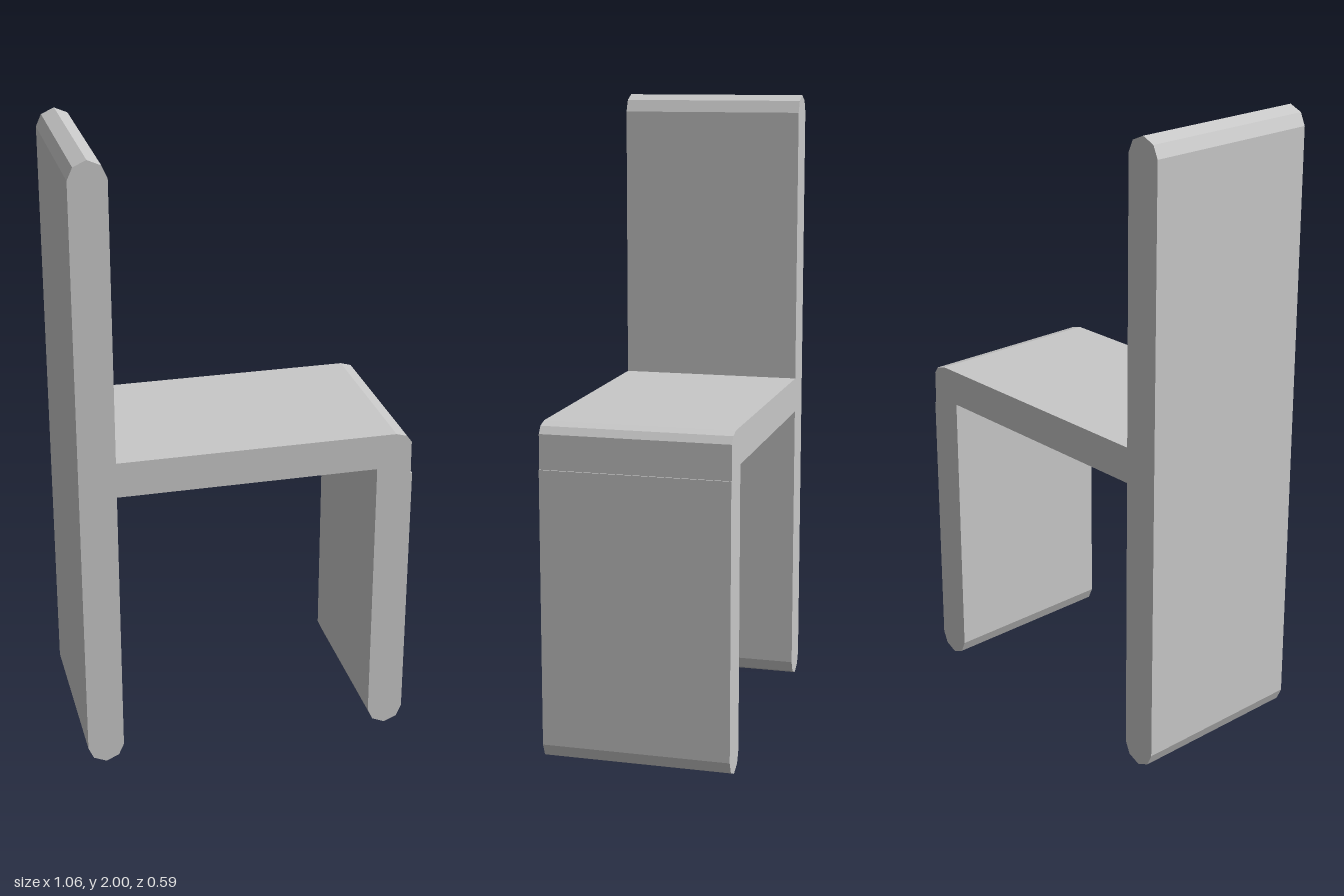
import * as THREE from 'three';

const DEPTH = 0.588;
const HALF = 0.058; // half thickness of the upright panels

export function createModel() {
  const group = new THREE.Group();
  group.name = 'chair';
  const paint = new THREE.MeshStandardMaterial({ color: 0xc8c8c8 });
  paint.name = 'lightGrey';

  // Extrude a side profile across the chair's width
  function addPanel(name, points) {
    const shape = new THREE.Shape(points.map(([x, y]) => new THREE.Vector2(x, y)));
    const geometry = new THREE.ExtrudeGeometry(shape, { depth: DEPTH, bevelEnabled: false });
    geometry.translate(0, 0, -DEPTH / 2);
    const mesh = new THREE.Mesh(geometry, paint);
    mesh.name = name;
    group.add(mesh);
  }

  // Faceted round end: dir -1 is a foot, +1 a top, counter-clockwise
  const roundEnd = (x, y, dir) =>
    [[-HALF, 0.056], [-0.041, 0.018], [0, 0], [0.041, 0.018], [HALF, 0.056]]
      .map(([dx, dy]) => [x - dir * dx, y - dir * dy]);

  // Tall panel forming the backrest and rear leg
  addPanel('backPanel', [...roundEnd(-0.472, 0, -1), ...roundEnd(-0.472, 2, 1)]);

  // Flat seat between the two uprights
  addPanel('seat', [[-0.414, 0.946], [0.412, 0.946], [0.412, 1.06], [-0.414, 1.06]]);

  // Front leg with a softened outer top corner
  addPanel('frontLeg', [
    ...roundEnd(0.469, 0, -1),
    [0.527, 0.92], [0.522, 0.92], [0.521, 1.028], [0.505, 1.05], [0.47, 1.06], [0.411, 1.06],
  ]);

  return group;
}
